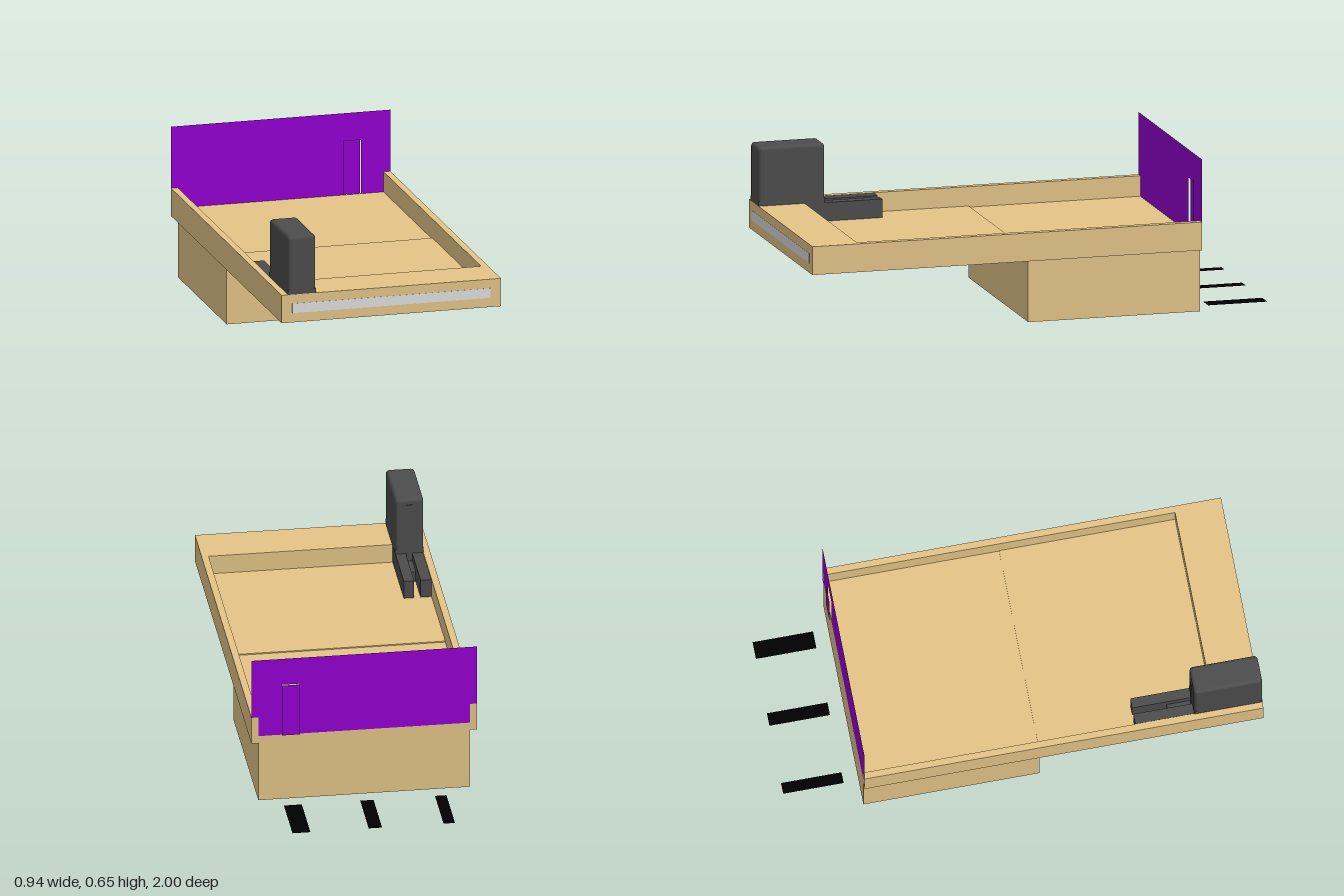
import * as THREE from 'three';
import { RoundedBoxGeometry } from 'three/addons/geometries/RoundedBoxGeometry.js';

const mat = (name, color) => {
  const m = new THREE.MeshStandardMaterial({ color, side: THREE.DoubleSide });
  m.name = name;
  return m;
};

export function createModel() {
  const tan = mat('tan', 0xe5c588);
  const purple = mat('purple', 0x9400d3);
  const grey = mat('dark grey', 0x4d4d4d);
  const silver = mat('silver', 0xdfdfe1);
  const black = mat('black', 0x000000);
  const model = new THREE.Group();

  const add = (name, geometry, material) => {
    const mesh = new THREE.Mesh(geometry, material);
    mesh.name = name;
    model.add(mesh);
    return mesh;
  };
  // Box given by its two extreme corners
  const box = (name, material, x0, x1, y0, y1, z0, z1, round = 0) => {
    const size = [x1 - x0, y1 - y0, z1 - z0];
    const g = round ? new RoundedBoxGeometry(...size, 3, round) : new THREE.BoxGeometry(...size);
    g.translate((x0 + x1) / 2, (y0 + y1) / 2, (z0 + z1) / 2);
    return add(name, g, material);
  };
  const points = list => list.map(p => new THREE.Vector2(...p));

  const T = 0.003; // sheet thickness
  const W = 0.472, IN = 0.443; // outer and inner half widths
  const LOW = 0.265, TOP = 0.385, BACK = -0.682, FRONT = 0.999;

  // Base under the rear half; its top is the rear floor
  box('base', tan, -IN, IN, 0, 0.298, BACK, 0.06);

  // Front floor, a little above the rear floor
  box('frontFloor', tan, -IN, IN, 0.297, 0.303, 0.058, 0.8);

  // Side rails: hollow, open below
  for (const s of [-1, 1]) {
    const rail = (name, a, b, y0, y1, z0, z1) =>
      box(name, tan, Math.min(s * a, s * b), Math.max(s * a, s * b), y0, y1, z0, z1);
    rail('railOuter', W - T, W, LOW, TOP, BACK, FRONT);
    rail('railTop', IN, W, TOP - T, TOP, BACK, FRONT);
    rail('railInner', IN, IN + T, 0.295, TOP, BACK, 0.8);
    rail('railEnd', IN, W, LOW, TOP, BACK, BACK + T);
  }

  // Front ledge, open below, with a silver strip seen from both sides
  box('ledgeTop', tan, -IN, IN, TOP - T, TOP, 0.8, FRONT);
  box('ledgeStep', tan, -IN, IN, 0.3, TOP, 0.8, 0.8 + T);
  box('frontPanel', tan, -W, W, LOW, TOP, FRONT - T, FRONT);
  box('frontStrip', silver, -0.427, 0.427, 0.305, 0.346, FRONT - T - 0.001, 1);

  // Tall back panel, narrowed between the rails, with an opening
  const shape = new THREE.Shape(points([
    [-IN, 0.298], [IN, 0.298], [IN, TOP], [W, TOP],
    [W, 0.65], [-W, 0.65], [-W, TOP], [-IN, TOP],
  ]));
  shape.holes.push(new THREE.Path(points([
    [0.27, 0.3], [0.27, 0.53], [0.345, 0.53], [0.345, 0.3],
  ])));
  add('backPanel', new THREE.ShapeGeometry(shape).translate(0, 0, BACK), purple);

  // Flap filling the opening, set slightly behind it
  const flap = new THREE.PlaneGeometry(0.075, 0.232);
  flap.translate(0.3075, 0.414, BACK - 0.008);
  add('backFlap', flap, purple);

  // Block on the ledge, with a ridge behind and two arms on the floor
  box('block', grey, -0.445, -0.325, TOP, 0.635, 0.713, 1, 0.015);
  box('blockFoot', grey, -0.445, -0.325, TOP + 0.0005, TOP + 0.02, 0.713, 1);
  box('blockRidge', grey, -0.397, -0.37, 0.304, 0.61, 0.708, 0.74);
  for (const [x0, x1] of [[-0.442, -0.397], [-0.37, -0.327]]) {
    box('arm', grey, x0, x1, 0.304, 0.383, 0.465, 0.799);
    box('armPost', grey, x0, x1, 0.304, 0.4, 0.715, 0.799);
  }
  box('armLink', grey, -0.397, -0.37, 0.304, 0.35, 0.61, 0.799);

  // Flat black strips on the ground behind
  for (const [x0, x1] of [[-0.335, -0.287], [-0.03, 0.026], [0.27, 0.345]]) {
    const g = new THREE.PlaneGeometry(x1 - x0, 0.255).rotateX(-Math.PI / 2);
    g.translate((x0 + x1) / 2, 0, -0.8725);
    add('groundStrip', g, black);
  }
  return model;
}
